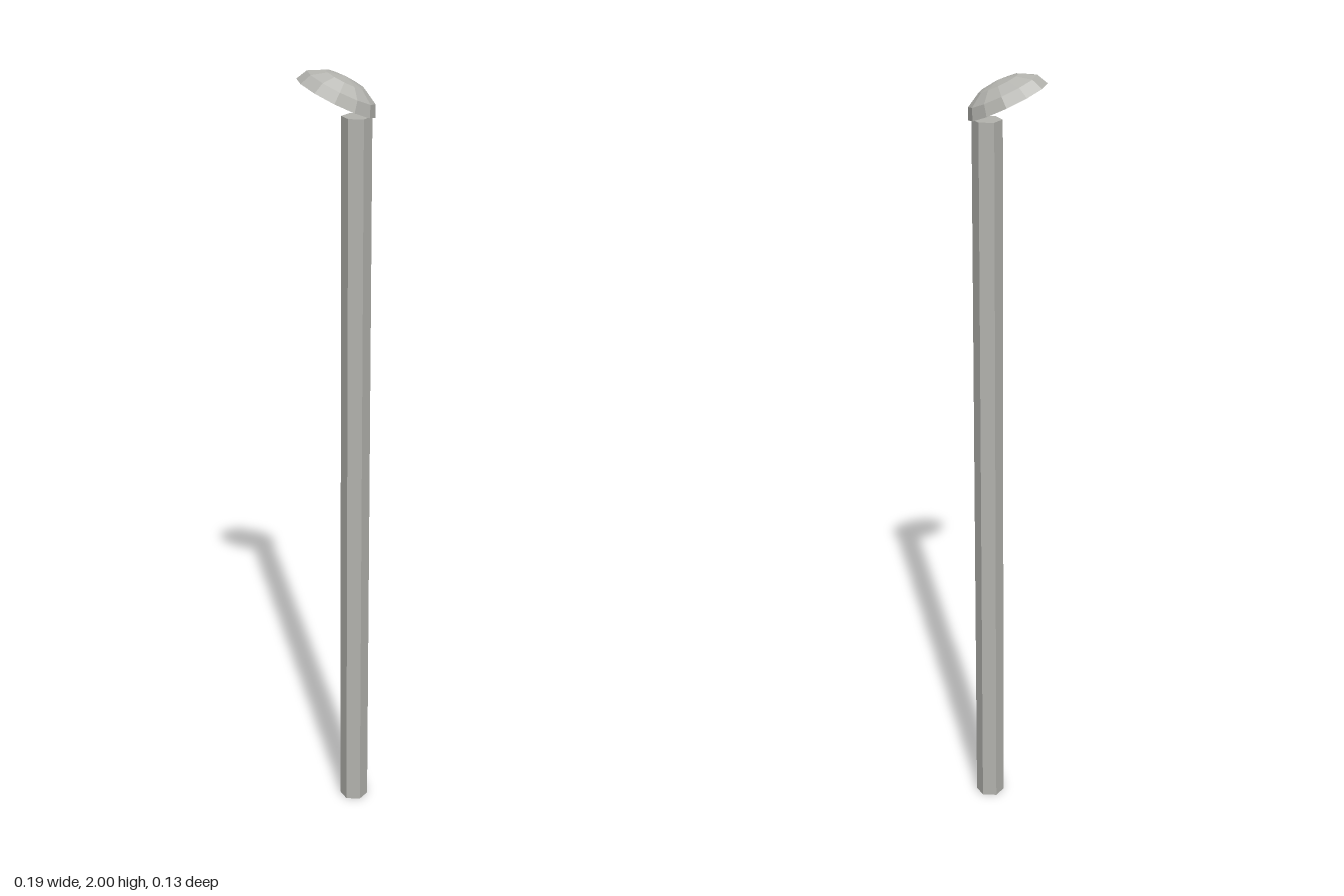
import * as THREE from 'three';

// Faceted normals for a low-poly look
function faceted(geometry) {
  const g = geometry.toNonIndexed();
  g.computeVertexNormals();
  return g;
}

export function createModel() {
  const model = new THREE.Group();
  model.name = 'streetLamp';

  const grey = new THREE.MeshStandardMaterial({ color: 0xb2b2ad, side: THREE.DoubleSide });
  grey.name = 'grey metal';

  // Hexagonal pole with corners pointing along x
  const poleHeight = 1.89;
  const poleGeometry = new THREE.CylinderGeometry(0.037, 0.037, poleHeight, 6);
  poleGeometry.rotateY(Math.PI / 6);
  const pole = new THREE.Mesh(faceted(poleGeometry), grey);
  pole.name = 'pole';
  pole.position.set(0.049, poleHeight / 2, 0);
  model.add(pole);

  // Open half-ellipsoid shade, tilted so its high end reaches out past the pole
  const shadeGeometry = new THREE.SphereGeometry(1, 12, 3, 0, Math.PI * 2, 0, Math.PI / 2);
  shadeGeometry.scale(0.104, 0.057, 0.066);
  shadeGeometry.rotateZ(-0.45);
  const shade = new THREE.Mesh(faceted(shadeGeometry), grey);
  shade.name = 'lampShade';
  shade.position.set(0, 1.932, 0);
  model.add(shade);

  return model;
}
